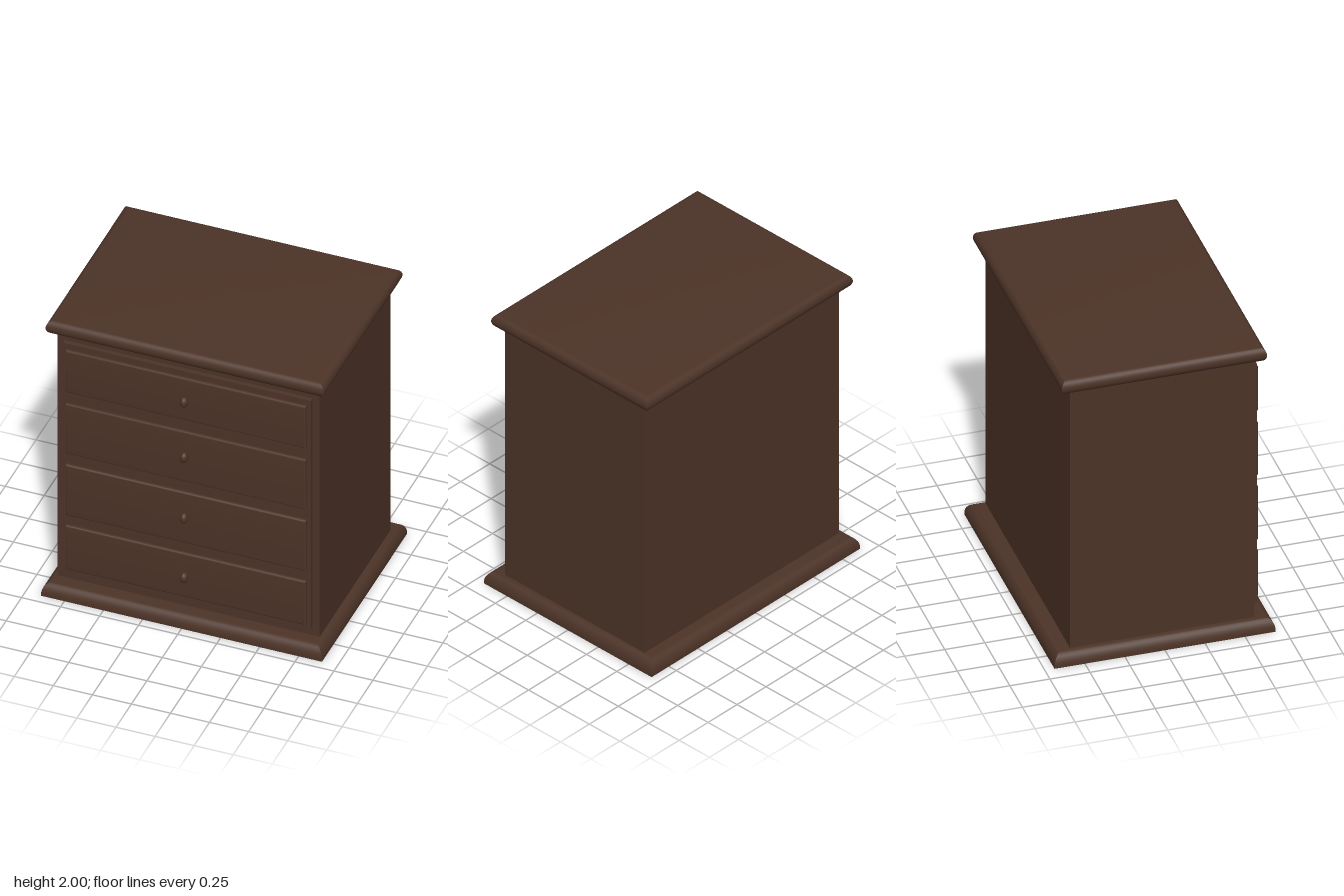
import * as THREE from 'three';
import { toCreasedNormals } from 'three/addons/utils/BufferGeometryUtils.js';

const wood = new THREE.MeshStandardMaterial({ color: 0x4c3327 });

// Capped stack of rectangles with mitred corners; rings are [halfWidth, halfDepth, y], bottom to top
function moulding(rings) {
  const corners = rings.map(([w, d, y]) => [[w, y, d], [w, y, -d], [-w, y, -d], [-w, y, d]]);
  const pos = [];
  const quad = (a, b, c, d) => pos.push(...a, ...b, ...c, ...a, ...c, ...d);
  for (let r = 0; r < corners.length - 1; r++) {
    const lo = corners[r], hi = corners[r + 1];
    for (let i = 0; i < 4; i++) {
      const j = (i + 1) % 4;
      quad(lo[i], lo[j], hi[j], hi[i]);
    }
  }
  const [b0, b1, b2, b3] = corners[0];
  quad(b3, b2, b1, b0);
  quad(...corners[corners.length - 1]);
  const geo = new THREE.BufferGeometry();
  geo.setAttribute('position', new THREE.Float32BufferAttribute(pos, 3));
  return toCreasedNormals(geo, 0.6);
}

// Rings following an elliptical arc from angle a0 to a1
function arc(w, d, y, rx, ry, a0, a1, steps) {
  return Array.from({ length: steps + 1 }, (_, i) => {
    const a = a0 + (a1 - a0) * i / steps;
    return [w + rx * Math.cos(a), d + rx * Math.sin(Math.PI / 2 - a), y + ry * Math.sin(a)];
  });
}

export function createModel() {
  const group = new THREE.Group();
  const add = (name, geo, x = 0, y = 0, z = 0, parent = group) => {
    const mesh = new THREE.Mesh(geo, wood);
    mesh.name = name;
    mesh.position.set(x, y, z);
    parent.add(mesh);
    return mesh;
  };
  const H = Math.PI / 2;

  // Flared plinth, carcass and bullnose top
  add('base', moulding([[0.9, 0.69, 0], ...arc(0.84, 0.63, 0.01, 0.06, 0.08, 0, H, 8)]));
  add('body', new THREE.BoxGeometry(1.68, 1.83, 1.15), 0, 0.995, 0);
  add('top', moulding(arc(0.845, 0.595, 1.95, 0.045, 0.05, -H, H, 14)));

  // Raised frame behind the drawers
  add('frontFrame', new THREE.BoxGeometry(1.59, 1.69, 0.05), 0, 1.0, 0.58);

  // Drawers: [bottom, top, knob height]
  const drawers = [
    [0.185, 0.51, 0.345],
    [0.585, 0.96, 0.785],
    [1.04, 1.41, 1.235],
    [1.495, 1.805, 1.645],
  ];
  drawers.forEach(([y0, y1, knobY], i) => {
    const drawer = new THREE.Group();
    drawer.name = 'drawer' + (i + 1);
    group.add(drawer);

    const w = 0.77, h = (y1 - y0) / 2, r = 0.014;
    const front = moulding([[w, h, 0], ...arc(w - r, h - r, 0.026, r, r, 0, H, 5)]);
    add('drawerFront', front.rotateX(H), 0, (y0 + y1) / 2, 0.585, drawer);

    // Oval knob on a short neck
    const neck = new THREE.CylinderGeometry(0.018, 0.018, 0.03, 16).rotateX(H);
    add('knobNeck', neck, -0.003, knobY, 0.63, drawer);
    const knob = add('knob', new THREE.SphereGeometry(1, 24, 16), -0.003, knobY, 0.64, drawer);
    knob.scale.set(0.025, 0.036, 0.03);
  });

  return group;
}
